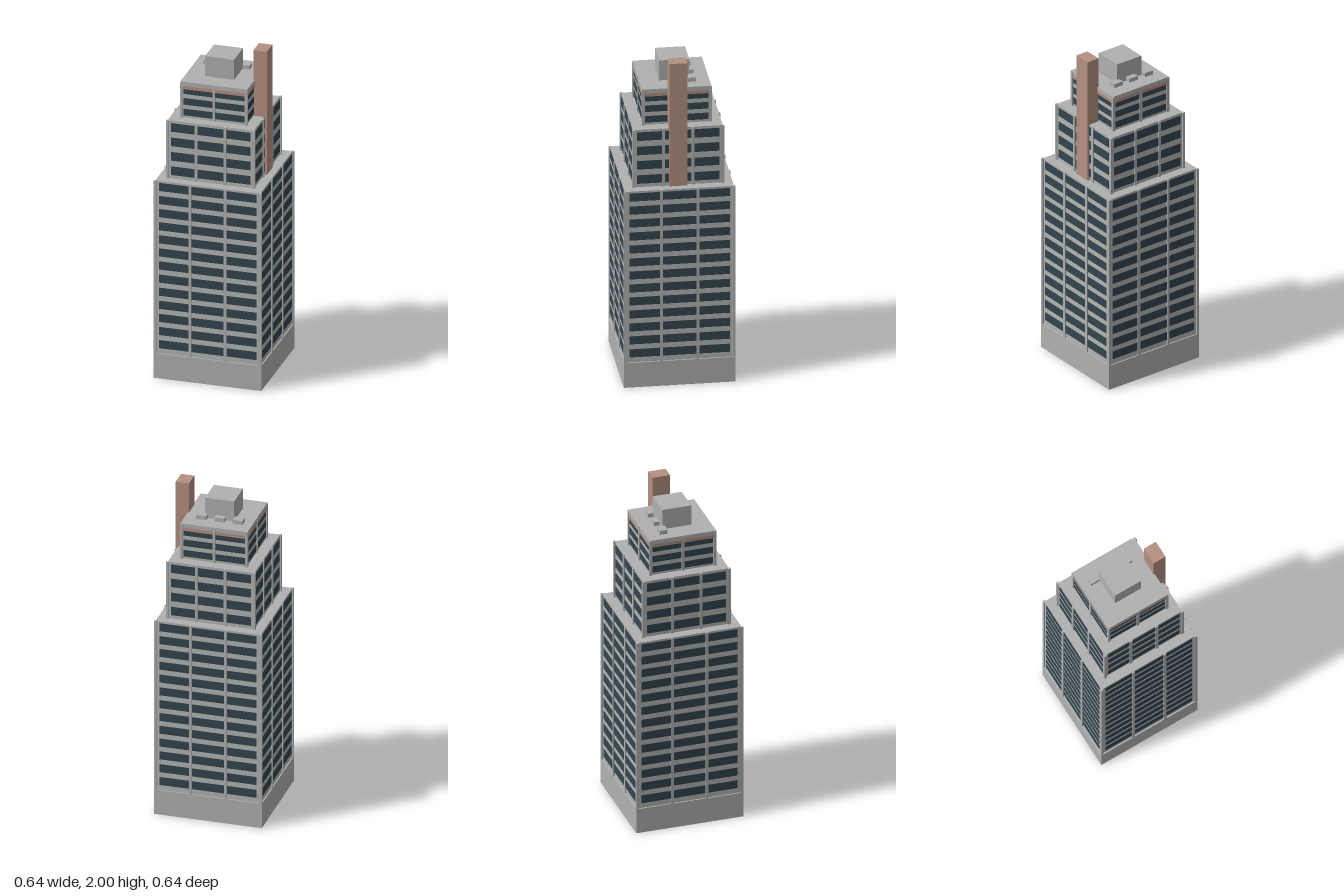
import * as THREE from 'three';

const mat = (name, color) => {
  const m = new THREE.MeshStandardMaterial({ color });
  m.name = name;
  return m;
};

export function createModel() {
  const stone = mat('stone', 0xb1b1b1);
  const wall = mat('wall panel', 0xb2b6b1);
  const glass = mat('window glass', 0x33444f);
  const brick = mat('terracotta', 0xb59181);

  const model = new THREE.Group();
  model.name = 'tower';

  // Box given by its x, y and z ranges
  const box = (parent, name, m, [x0, x1], [y0, y1], [z0, z1]) => {
    const mesh = new THREE.Mesh(new THREE.BoxGeometry(x1 - x0, y1 - y0, z1 - z0), m);
    mesh.position.set((x0 + x1) / 2, (y0 + y1) / 2, (z0 + z1) / 2);
    mesh.name = name;
    parent.add(mesh);
    return mesh;
  };
  const sym = (h) => [-h, h];

  // One setback: core block, window strips and piers repeated on four faces
  function tier(name, t) {
    const group = new THREE.Group();
    group.name = name;
    box(group, 'core', wall, sym(t.half), [t.y0, t.y1 - 0.004], sym(t.half));
    box(group, 'roof', stone, sym(t.half), [t.y1 - 0.004, t.y1], sym(t.half));
    for (let side = 0; side < 4; side++) {
      const face = new THREE.Group();
      face.name = 'face';
      face.rotation.y = side * Math.PI / 2;
      for (let i = 0; i < t.rows; i++) {
        const y = t.firstRow + i * t.pitch;
        box(face, 'windowStrip', glass, sym(t.strip),
          [y - t.winH / 2, y + t.winH / 2], [t.half - 0.002, t.half + 0.0025]);
      }
      for (let i = 1; i < t.bays; i++) {
        const x = t.half * (2 * i / t.bays - 1);
        box(face, 'pier', stone, [x - 0.008, x + 0.008], [t.y0, t.y1], [t.half - 0.008, t.half + 0.008]);
      }
      // Corner pier, one per face
      box(face, 'cornerPier', stone, [t.half - 0.008, t.half + 0.008], [t.y0, t.y1], [t.half - 0.008, t.half + 0.008]);
      group.add(face);
    }
    model.add(group);
    return group;
  }

  // Plinth
  box(model, 'base', stone, sym(0.3225), [0, 0.155], sym(0.3225));

  tier('lowerTier', { half: 0.3145, y0: 0.155, y1: 1.23, rows: 13, firstRow: 0.2116, pitch: 0.0818, winH: 0.05, strip: 0.29, bays: 3 });
  tier('middleTier', { half: 0.258, y0: 1.23, y1: 1.59, rows: 4, firstRow: 1.278, pitch: 0.09, winH: 0.053, strip: 0.238, bays: 3 });
  const upper = tier('upperTier', { half: 0.194, y0: 1.59, y1: 1.81, rows: 3, firstRow: 1.625, pitch: 0.0665, winH: 0.04, strip: 0.183, bays: 2 });

  // Coloured band and roof slab on the upper tier
  box(upper, 'band', brick, sym(0.2005), [1.77, 1.79], sym(0.2005));
  box(upper, 'roofSlab', stone, sym(0.2), [1.79, 1.815], sym(0.2));

  // Rooftop machine room and vents
  box(model, 'machineRoom', stone, sym(0.087), [1.815, 1.94], sym(0.087));
  for (const x of [-0.117, -0.008, 0.1]) {
    box(model, 'roofVent', stone, [x - 0.03, x + 0.03], [1.815, 1.84], [-0.12, -0.075]);
  }

  // Chimney rising along the left side
  box(model, 'chimney', brick, [0.193, 0.273], [0.1, 2], sym(0.053));

  return model;
}
